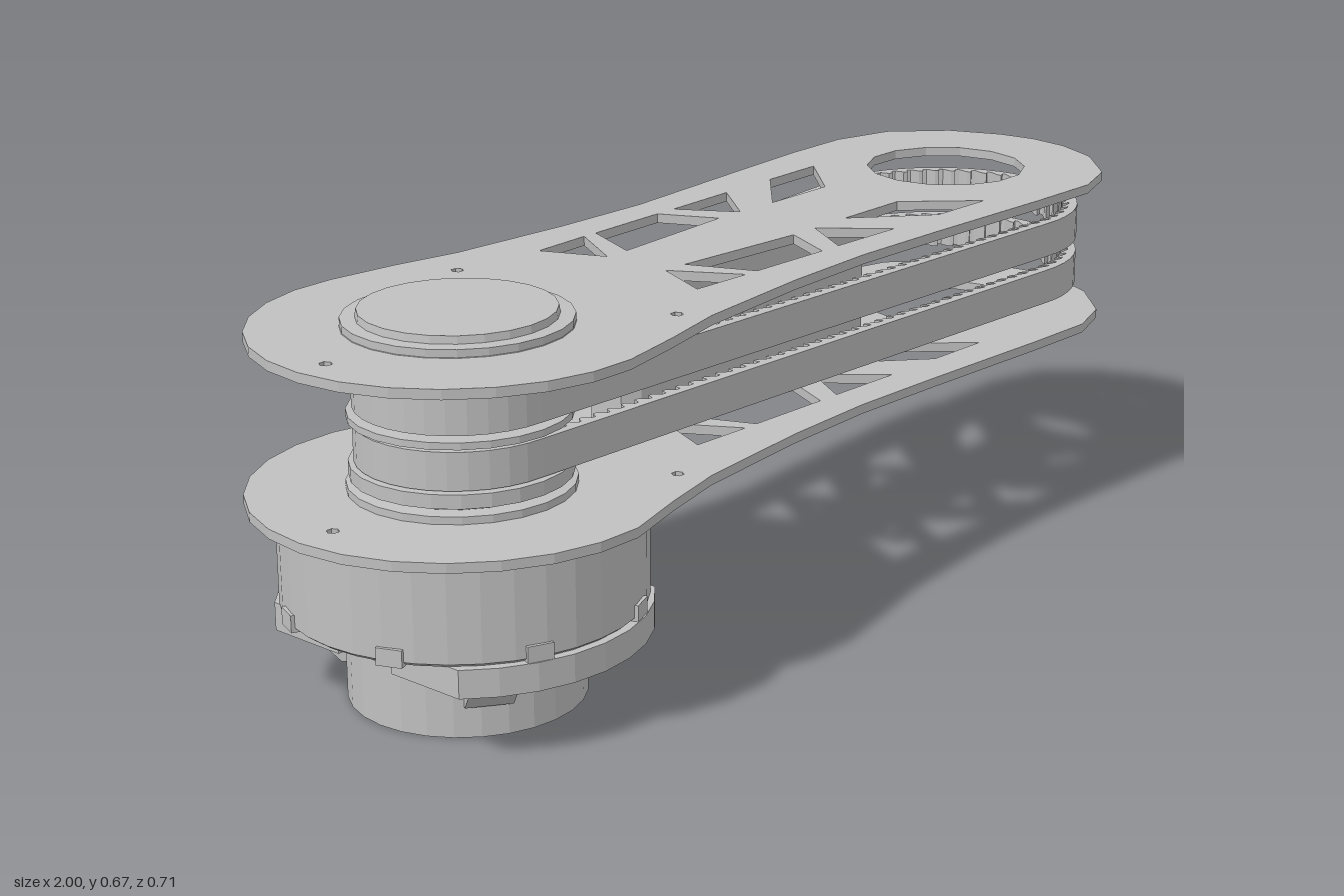
import * as THREE from 'three';

const PIVOT_X = -0.645;            // axis of the motor and drive pulley
const END = { x: 0.705, z: -0.028 }; // axis of the far end

export function createModel() {
  const group = new THREE.Group();
  const metal = new THREE.MeshStandardMaterial({ color: 0xc0c0c0, flatShading: true });
  metal.name = 'grey metal';

  const add = (name, geometry, x = 0, y = 0, z = 0) => {
    const mesh = new THREE.Mesh(geometry, metal);
    mesh.name = name;
    mesh.position.set(x, y, z);
    group.add(mesh);
    return mesh;
  };
  // Shapes are drawn in plan as [x, z] and extruded upwards;
  // outlines run anticlockwise and holes clockwise so every wall faces out
  const toPoints = (list, clockwise) => {
    const points = list.map(([x, z]) => new THREE.Vector2(x, -z));
    return THREE.ShapeUtils.isClockWise(points) === clockwise ? points : points.reverse();
  };
  const circle = (cx, cz, r, n, start = 0) => Array.from({ length: n }, (_, i) => {
    const a = start + (i / n) * Math.PI * 2;
    return [cx + Math.cos(a) * r, cz + Math.sin(a) * r];
  });
  const slab = (outline, holes, height) => {
    const shape = new THREE.Shape(toPoints(outline, false));
    shape.holes = holes.map((h) => new THREE.Path(toPoints(h, true)));
    return new THREE.ExtrudeGeometry(shape, { depth: height, bevelEnabled: false })
      .rotateX(-Math.PI / 2);
  };

  // Side plates with truss cut-outs
  const edge = [
    [-0.48, -0.325], [-0.35, -0.3], [-0.1, -0.283], [0.1, -0.28], [0.4, -0.305], [0.6, -0.32],
    [0.74, -0.322], [0.86, -0.29], [0.95, -0.2], [0.99, -0.1], [1, -0.03], [0.99, 0.05],
    [0.95, 0.14], [0.86, 0.23], [0.76, 0.265], [0.6, 0.262], [0.3, 0.25], [0.1, 0.245],
    [-0.1, 0.255], [-0.35, 0.283], [-0.48, 0.315],
  ];
  const truss = [
    [[-0.25, -0.2], [-0.13, -0.205], [-0.2, -0.085]],
    [[-0.1, -0.205], [0.07, -0.21], [0.12, -0.105], [-0.15, -0.085]],
    [[0.115, -0.21], [0.27, -0.215], [0.18, -0.105]],
    [[0.27, -0.103], [0.425, -0.103], [0.535, -0.22], [0.4, -0.217]],
  ];
  const mirrored = truss.map((h) => h.map(([x, z]) => [x, -0.035 - z]));
  const plateHoles = [
    ...truss, ...mirrored,
    circle(END.x, END.z, 0.152, 14),
    circle(-0.93, 0, 0.011, 6), circle(-0.38, 0.235, 0.011, 6), circle(-0.43, -0.22, 0.011, 6),
  ];
  const plate = (name, r, y) => {
    const arc = [];
    for (let i = 0; i <= 14; i++) {
      const a = THREE.MathUtils.degToRad(84 + (i / 14) * 192);
      arc.push([PIVOT_X + Math.cos(a) * r, Math.sin(a) * r]);
    }
    add(name, slab([...edge, ...arc], plateHoles, 0.017), 0, y, 0);
  };
  plate('lowerPlate', 0.355, 0.345);
  plate('upperPlate', 0.343, 0.62);

  // Chamfered spacer block between the plates
  add('spacerBlock', slab([
    [-0.285, -0.048], [-0.255, -0.066], [0.355, -0.066], [0.375, -0.048],
    [0.375, 0.022], [0.355, 0.042], [-0.255, 0.042], [-0.285, 0.022],
  ], [], 0.262), 0, 0.36, 0);

  // Toothed belts: loops tangent to both end circles
  const loop = (r1, r2, n) => {
    const dx = END.x - PIVOT_X, dz = END.z;
    const th = Math.atan2(dz, dx), al = Math.acos((r1 - r2) / Math.hypot(dx, dz));
    const path = new THREE.Path();
    path.absarc(END.x, END.z, r2, th - al, th + al, false);
    path.absarc(PIVOT_X, 0, r1, th + al, th - al + Math.PI * 2, false);
    path.closePath();
    return path.getSpacedPoints(n).slice(0, n).map((p) => [p.x, p.y]);
  };
  const count = 480;
  const root = loop(0.16, 0.24, count), tip = loop(0.147, 0.227, count);
  const toothed = root.map((p, i) => (i % 4 < 2 ? p : tip[i]));
  const belt = slab(loop(0.176, 0.256, 120), [toothed], 0.065);
  add('lowerBelt', belt, 0, 0.413, 0);
  add('upperBelt', belt, 0, 0.505, 0);

  // Drive pulley with flanges, bearing and top cap
  const lathe = (profile, n) =>
    new THREE.LatheGeometry(profile.map(([r, y]) => new THREE.Vector2(r, y)), n);
  add('drivePulley', lathe([
    [0, 0.36], [0.19, 0.36], [0.19, 0.375], [0.165, 0.378], [0.185, 0.386], [0.185, 0.41],
    [0.146, 0.411], [0.146, 0.484], [0.186, 0.485], [0.186, 0.497], [0.146, 0.498],
    [0.146, 0.572], [0.163, 0.573], [0.163, 0.605], [0.195, 0.607], [0.203, 0.62],
    [0.19, 0.638], [0.19, 0.651], [0.165, 0.652], [0.163, 0.665], [0, 0.665],
  ], 24), PIVOT_X);

  // Motor drum
  add('motorDrum', lathe([
    [0, 0.166], [0.297, 0.166], [0.306, 0.173], [0.306, 0.336], [0.292, 0.346], [0, 0.346],
  ], 36), PIVOT_X);

  // Clips around the lower rim of the drum
  for (let i = 0; i < 8; i++) {
    const a = ((i + 0.5) / 8) * Math.PI * 2;
    const clip = add('drumClip', new THREE.BoxGeometry(0.022, 0.03, 0.045),
      PIVOT_X + Math.cos(a) * 0.3, 0.18, Math.sin(a) * 0.3);
    clip.rotation.y = -a;
  }

  // Split mounting bracket: one wing on each side of a slot
  const wing = [[-0.23, 0.062]];
  for (let i = 0; i <= 8; i++) {
    const a = THREE.MathUtils.degToRad(137 - (i / 8) * 94);
    wing.push([Math.cos(a) * 0.314, Math.sin(a) * 0.314]);
  }
  wing.push([0.23, 0.062]);
  for (const s of [1, -1]) {
    add('mountWing', slab(wing.map(([x, z]) => [x * s, z * s]), [], 0.049), PIVOT_X, 0.118, 0);
  }
  add('connector', new THREE.BoxGeometry(0.3, 0.03, 0.085), PIVOT_X, 0.14, -0.004);

  // Sloped gussets joining the wings to the base
  const gussetProfile = new THREE.Shape([
    new THREE.Vector2(0.15, 0.055), new THREE.Vector2(0.205, 0.055),
    new THREE.Vector2(0.275, 0.12), new THREE.Vector2(0.15, 0.12),
  ]);
  const gussetGeometry = new THREE.ExtrudeGeometry(gussetProfile, { depth: 0.08, bevelEnabled: false })
    .translate(0, 0, -0.04);
  for (const deg of [55, 125, 235, 305]) {
    add('gusset', gussetGeometry, PIVOT_X).rotation.y = -THREE.MathUtils.degToRad(deg);
  }

  // Base hub with hexagonal bore and bolt holes
  const bolts = circle(0, 0, 0.13, 6, Math.PI / 6).map(([x, z]) => circle(x, z, 0.012, 6));
  add('baseHub', slab(circle(0, 0, 0.201, 28), [circle(0, 0, 0.055, 6), ...bolts], 0.111), PIVOT_X);
  add('hubFloor', new THREE.CylinderGeometry(0.19, 0.19, 0.01, 28), PIVOT_X, 0.113, 0);

  return group;
}
